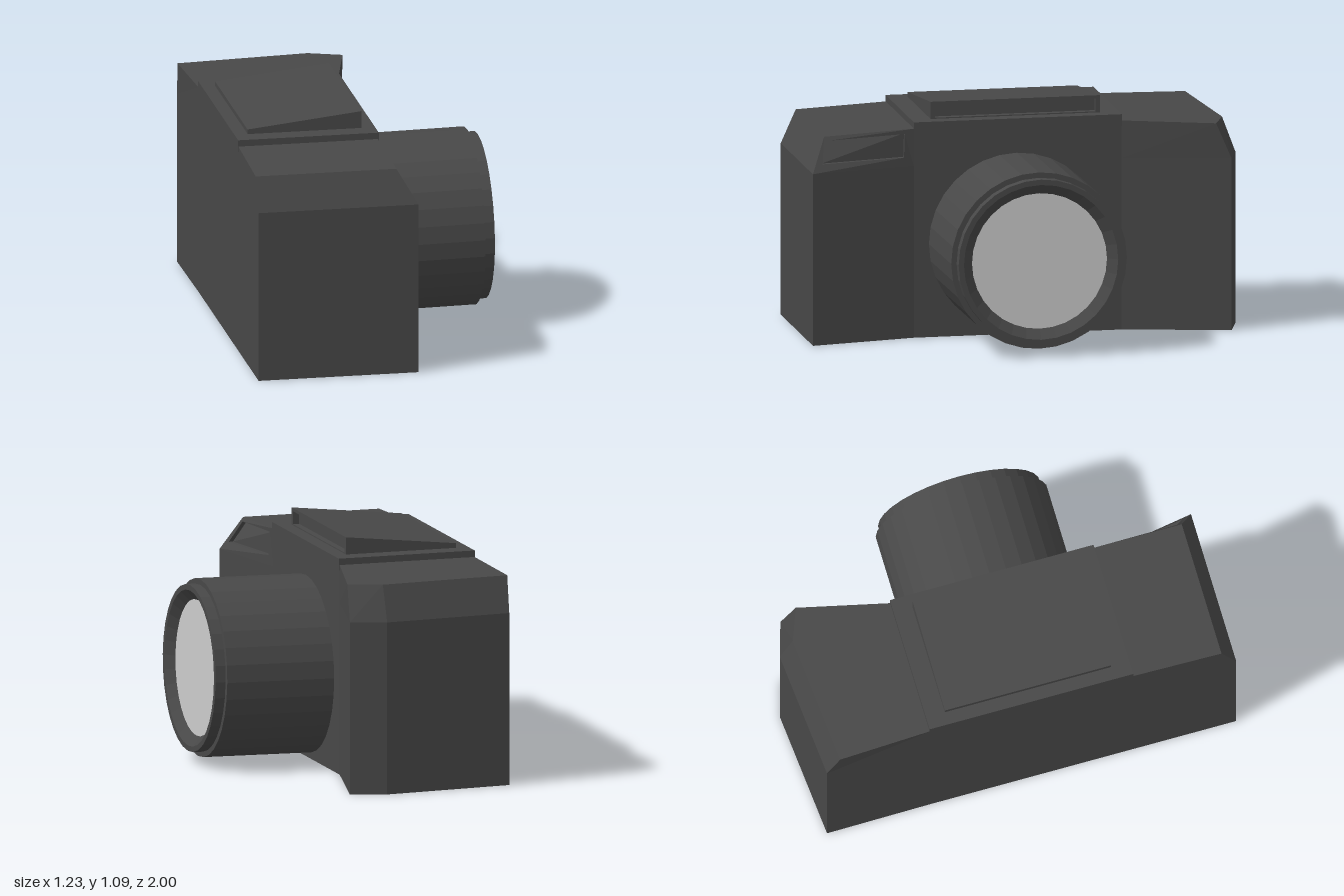
import * as THREE from 'three';

const dark = new THREE.MeshStandardMaterial({ color: 0x484848, flatShading: true });
const grey = new THREE.MeshStandardMaterial({ color: 0xcccccc });

// Collects flat quads (counter-clockwise from outside) into a geometry
function quadBuilder() {
  const pos = [];
  const quad = (a, b, c, d) => pos.push(...a, ...b, ...c, ...a, ...c, ...d);

  // A quad with a sunken window; u, v limits are fractions of the sides
  const recess = (a, b, c, d, [u0, u1], [v0, v1], depth) => {
    const at = (u, v) => a.map((_, k) =>
      (1 - v) * ((1 - u) * a[k] + u * b[k]) + v * ((1 - u) * d[k] + u * c[k]));
    const outer = [a, b, c, d];
    const rim = [at(u0, v0), at(u1, v0), at(u1, v1), at(u0, v1)];
    const floor = rim.map(([x, y, z]) => [x - depth, y, z]);
    for (let i = 0; i < 4; i++) {
      const j = (i + 1) % 4;
      quad(outer[i], outer[j], rim[j], rim[i]);
      quad(rim[i], rim[j], floor[j], floor[i]);
    }
    quad(...floor);
  };

  const build = () => {
    const g = new THREE.BufferGeometry();
    g.setAttribute('position', new THREE.Float32BufferAttribute(pos, 3));
    g.computeVertexNormals();
    return g;
  };
  return { quad, recess, build };
}

// Body: four cross-sections along z, each with bottom, shoulder and top points
function bodyGeometry() {
  const { quad, recess, build } = quadBuilder();
  const S = 0.8; // shoulder height
  // low and top: [x, z] of back, middle and front; topY: height of the top edge
  const section = (low, top, topY) => {
    const [b, m, f] = low;
    const [tb, tm, tf] = top;
    const p = ([x, z], y) => [x, y, z];
    return {
      ring: [p(b, 0), p(m, 0), p(f, 0), p(f, S), p(tf, topY), p(tm, topY), p(tb, topY), p(b, S)],
      mid: p(m, S),
    };
  };
  const straight = z => [[-0.6, z], [0, z], [0.05, z]];
  const sections = [
    section([[-0.6, 1], [0, 1], [0.145, 1]], [[-0.6, 0.93], [0, 0.93], [0.055, 0.93]], 0.955),
    section(straight(0.51), straight(0.51), 0.975),
    section(straight(-0.46), straight(-0.46), 0.975),
    section([[-0.605, -0.95], [0, -1], [0.163, -0.95]], [[-0.615, -0.89], [0, -0.938], [0.152, -0.88]], 0.965),
  ];
  for (let s = 0; s < 3; s++) {
    const r0 = sections[s].ring, r1 = sections[s + 1].ring;
    for (let i = 0; i < 8; i++) {
      const j = (i + 1) % 8;
      // sloping panel with the sunken flash window
      if (s === 0 && i === 3) recess(r0[i], r1[i], r1[j], r0[j], [0.07, 0.9], [0.25, 0.88], 0.02);
      else quad(r0[i], r1[i], r1[j], r0[j]);
    }
  }
  // end walls with their upper chamfers
  for (const [end, flip] of [[sections[0], false], [sections[3], true]]) {
    const [bb, bm, bf, f, tf, tm, tb, b] = end.ring;
    const m = end.mid;
    for (const q of [[bb, bm, m, b], [bm, bf, f, m], [b, m, tm, tb], [m, f, tf, tm]])
      quad(...(flip ? q.reverse() : q));
  }
  return build();
}

// Finder hood: a wedge rising towards the lens side, with a sunken window
function hoodGeometry() {
  const { quad, recess, build } = quadBuilder();
  const side = z => [[-0.54, 1.0, z], [-0.01, 1.0, z], [-0.01, 1.085, z], [-0.54, 1.027, z]];
  const n = side(0.42), f = side(-0.37);
  quad(...n);
  quad(...f.slice().reverse());
  quad(n[0], f[0], f[1], n[1]);
  quad(n[2], f[2], f[3], n[3]);
  quad(n[3], f[3], f[0], n[0]);
  recess(n[1], f[1], f[2], n[2], [0.025, 0.975], [0.12, 0.83], 0.03);
  return build();
}

export function createModel() {
  const group = new THREE.Group();
  const add = (name, geometry, material, parent = group) => {
    const mesh = new THREE.Mesh(geometry, material);
    mesh.name = name;
    parent.add(mesh);
    return mesh;
  };

  add('body', bodyGeometry(), dark);
  add('topPlate', new THREE.BoxGeometry(0.655, 0.055, 0.97), dark).position.set(-0.2735, 0.9775, 0.025);
  add('finderHood', hoodGeometry(), dark);

  // Lens, tilted very slightly upwards
  const lens = new THREE.Group();
  lens.name = 'lens';
  lens.position.set(0.05, 0.434, 0.03);
  lens.rotation.z = -Math.PI / 2 + 0.015;
  group.add(lens);
  const profile = [[0.41, -0.04], [0.41, 0.515], [0.385, 0.515], [0.385, 0.563], [0.36, 0.563], [0.315, 0.525]]
    .map(([r, y]) => new THREE.Vector2(r, y));
  add('lensBarrel', new THREE.LatheGeometry(profile, 32), dark, lens);
  const glass = add('lensGlass', new THREE.CircleGeometry(0.316, 32), grey, lens);
  glass.rotation.x = -Math.PI / 2;
  glass.position.y = 0.525;

  return group;
}
